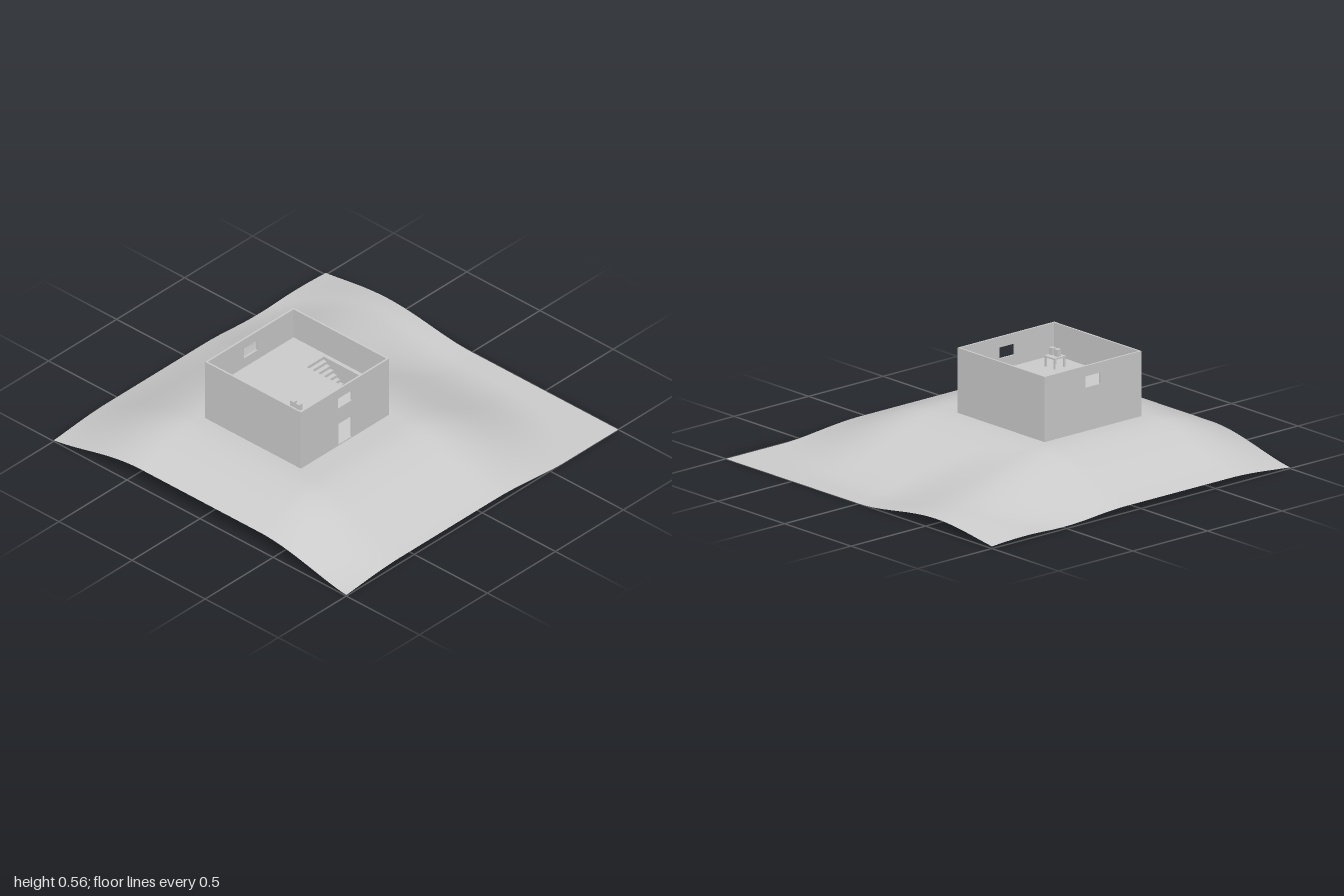
import * as THREE from 'three';

const material = new THREE.MeshStandardMaterial({ color: 0xcccccc });
const thinMaterial = new THREE.MeshStandardMaterial({ color: 0xcccccc, side: THREE.DoubleSide });

// House extents
const X0 = -0.565, X1 = 0.085, Z0 = -0.37, Z1 = 0.285;
const GROUND = 0.218, ROOF = 0.56, FLOOR = 0.39, T = 0.01;

function addMesh(parent, name, geometry, mat = material) {
  const mesh = new THREE.Mesh(geometry, mat);
  mesh.name = name;
  parent.add(mesh);
  return mesh;
}

// Box given by its minimum and maximum corners
function addBox(parent, name, x0, y0, z0, x1, y1, z1) {
  const mesh = addMesh(parent, name, new THREE.BoxGeometry(x1 - x0, y1 - y0, z1 - z0));
  mesh.position.set((x0 + x1) / 2, (y0 + y1) / 2, (z0 + z1) / 2);
  return mesh;
}

function rectangle(Type, x0, y0, x1, y1) {
  const p = new Type();
  p.moveTo(x0, y0);
  p.lineTo(x1, y0);
  p.lineTo(x1, y1);
  p.lineTo(x0, y1);
  p.closePath();
  return p;
}

// Rectangular panel with rectangular openings
function panel(outer, holes, depth) {
  const shape = rectangle(THREE.Shape, ...outer);
  holes.forEach((h) => shape.holes.push(rectangle(THREE.Path, ...h)));
  return new THREE.ExtrudeGeometry(shape, { depth, bevelEnabled: false });
}

const falloff = (d, radius) => {
  const t = Math.max(0, 1 - d / radius);
  return t * t * (3 - 2 * t);
};

// Flat-topped hill under the house plus a low knoll behind it
function groundHeight(x, z) {
  const dx = Math.max(-0.6 - x, 0, x - 0.09);
  const dz = Math.max(Math.abs(z) - 0.4, 0);
  const hill = GROUND * falloff(Math.hypot(dx, dz), 0.8);
  const knoll = 0.08 * falloff(Math.hypot(x - 0.78, z + 0.58), 0.62);
  return hill + knoll;
}

function createTerrain() {
  const g = new THREE.PlaneGeometry(2, 2, 80, 80);
  g.rotateX(-Math.PI / 2);
  const p = g.attributes.position;
  for (let i = 0; i < p.count; i++) p.setY(i, groundHeight(p.getX(i), p.getZ(i)));
  g.computeVertexNormals();
  return g;
}

function createHouse() {
  const house = new THREE.Group();
  house.name = 'house';

  // Walls with the window openings and the doorway
  const windowHole = [-0.29, 0.446, -0.19, 0.505];
  const doorHole = [-0.288, 0.225, -0.19, 0.35];
  const wall = [X0, GROUND, X1, ROOF];
  addMesh(house, 'frontWall', panel(wall, [windowHole, doorHole], T)).position.z = Z1 - T;
  addMesh(house, 'backWall', panel(wall, [windowHole], T)).position.z = Z0;
  addBox(house, 'rightWall', X0, GROUND, Z0 + T, X0 + T, ROOF, Z1 - T);
  addBox(house, 'leftWall', X1 - T, GROUND, Z0 + T, X1, ROOF, Z1 - T);

  // Ground floor, and upper floor with the stairwell
  addBox(house, 'groundFloor', X0 + T, GROUND - 0.002, Z0 + T, X1 - T, 0.223, Z1 - T);
  const slab = panel([X0 + T, -Z1 + T, X1 - T, -Z0 - T], [[-0.072, -0.128, 0.053, 0.133]], 0.01);
  slab.rotateX(-Math.PI / 2);
  addMesh(house, 'upperFloor', slab).position.y = FLOOR - 0.01;

  // Stairs rising towards the back
  const stairs = new THREE.Group();
  stairs.name = 'stairs';
  const steps = 9, run = 0.206 / steps, rise = (FLOOR - 0.223) / (steps + 1);
  for (let i = 0; i < steps; i++) {
    const z = 0.073 - i * run, y = 0.223 + (i + 1) * rise;
    addBox(stairs, 'step', -0.07, Math.max(0.223, y - 2 * rise), z - run, 0.051, y, z);
  }
  house.add(stairs);

  // Small table with two objects on it
  const table = new THREE.Group();
  table.name = 'table';
  addBox(table, 'tableTop', -0.467, 0.44, 0.088, -0.39, 0.448, 0.165);
  for (const x of [-0.465, -0.4]) {
    for (const z of [0.09, 0.155]) addBox(table, 'tableLeg', x, FLOOR, z, x + 0.008, 0.44, z + 0.008);
  }
  for (const z of [0.1, 0.138]) addBox(table, 'tableObject', -0.445, 0.448, z, -0.42, 0.485, z + 0.024);
  house.add(table);
  return house;
}

export function createModel() {
  const model = new THREE.Group();
  model.name = 'houseOnHill';
  addMesh(model, 'terrain', createTerrain(), thinMaterial);
  model.add(createHouse());
  return model;
}
